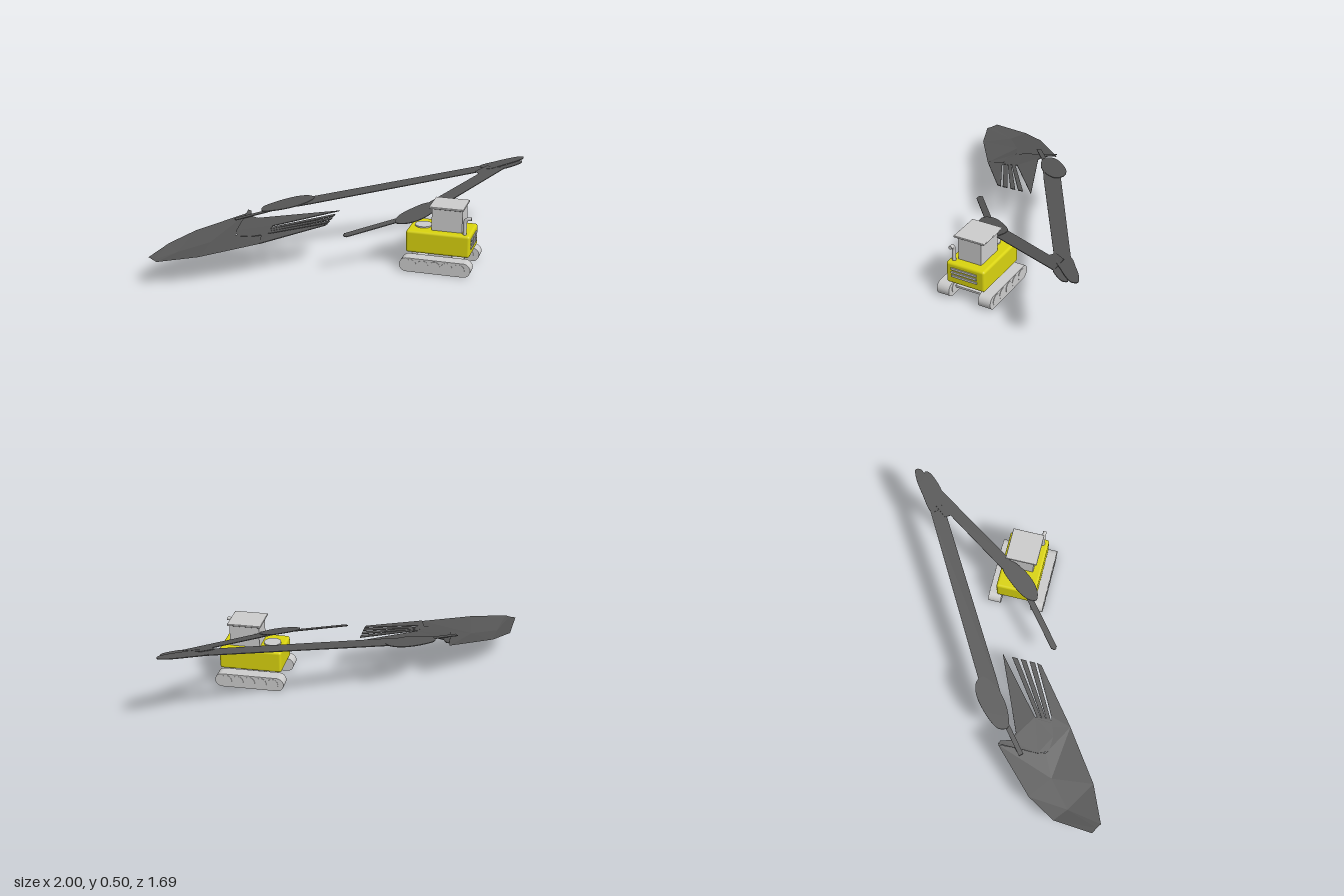
import * as THREE from 'three';
import { RoundedBoxGeometry } from 'three/addons/geometries/RoundedBoxGeometry.js';

const grey = new THREE.MeshStandardMaterial({ color: 0xcccccc });
const yellow = new THREE.MeshStandardMaterial({ color: 0xd9d30f });
const dark = new THREE.MeshStandardMaterial({ color: 0x555555, side: THREE.DoubleSide, flatShading: true });

// Heights of the tilted surfaces that carry the boom, the dipper and the bucket mouth
const boomHeight = (x, z) => 0.336 - 0.025 * x - 0.243 * z;
const dipperHeight = (x, z) => 0.3475 + 0.07 * x - 0.1 * z;
const bucketHeight = (x, z) => 0.30 - 0.015 * (x + 0.05) - 0.04 * z + 0.306 * (x + 0.05) * z;

// Smooth closed outline through a few [x, z] points
const rounded = (points) => new THREE.CatmullRomCurve3(
  points.map(([x, z]) => new THREE.Vector3(x, 0, z)), true).getPoints(36).slice(0, -1).map((p) => [p.x, p.z]);

export function createModel() {
  const model = new THREE.Group();

  function add(name, geometry, material, x = 0, y = 0, z = 0, parent = model) {
    const mesh = new THREE.Mesh(geometry, material);
    mesh.name = name;
    mesh.position.set(x, y, z);
    parent.add(mesh);
    return mesh;
  }

  function group(name) {
    const g = new THREE.Group();
    g.name = name;
    model.add(g);
    return g;
  }

  // Thin plate from an [x, z] outline, laid on a tilted surface
  function plate(name, outline, height, parent, lift = 0) {
    const thickness = 0.005;
    const shape = new THREE.Shape(outline.map(([x, z]) => new THREE.Vector2(x, -z)));
    const geometry = new THREE.ExtrudeGeometry(shape, { depth: thickness, bevelEnabled: false });
    geometry.rotateX(-Math.PI / 2);
    const p = geometry.attributes.position;
    for (let i = 0; i < p.count; i++) {
      p.setY(i, p.getY(i) + lift - thickness / 2 + height(p.getX(i), p.getZ(i)));
    }
    geometry.computeVertexNormals();
    add(name, geometry, dark, 0, 0, 0, parent);
  }

  // Straight strip between two [x, z] points
  function strip(name, a, b, width, height, parent, lift) {
    const dx = b[0] - a[0], dz = b[1] - a[1];
    const k = width / 2 / Math.hypot(dx, dz);
    const nx = -dz * k, nz = dx * k;
    plate(name, [[a[0] + nx, a[1] + nz], [b[0] + nx, b[1] + nz],
      [b[0] - nx, b[1] - nz], [a[0] - nx, a[1] - nz]], height, parent, lift);
  }

  // Tracks: rounded loop with five road wheels on each side
  for (const [side, zc] of [['left', 0.1125], ['right', -0.1725]]) {
    const track = group(side + 'Track');
    const r = 0.045, x0 = 0.44, x1 = 0.80, depth = 0.084;
    const loop = new THREE.Shape();
    loop.absarc(x1, r, r, -Math.PI / 2, Math.PI / 2, false);
    loop.absarc(x0, r, r, Math.PI / 2, Math.PI * 1.5, false);
    loop.closePath();
    add('trackBelt', new THREE.ExtrudeGeometry(loop, { depth, bevelEnabled: false, curveSegments: 14 }),
      grey, 0, 0.004, zc - depth / 2, track);
    for (let i = 0; i < 5; i++) {
      const wheel = add('roadWheel', new THREE.CylinderGeometry(0.037, 0.037, depth + 0.005, 24), grey,
        0.468 + i * 0.076, 0.049, zc, track);
      wheel.rotation.x = Math.PI / 2;
    }
  }

  // Undercarriage
  add('axlePlate', new THREE.BoxGeometry(0.3, 0.013, 0.27), grey, 0.62, 0.052, -0.03);
  add('pedestal', new THREE.BoxGeometry(0.15, 0.05, 0.07), grey, 0.62, 0.08, -0.03);
  add('turntable', new THREE.CylinderGeometry(0.075, 0.075, 0.012, 32), grey, 0.62, 0.106, -0.03);

  // House, hood cap, cab and roof
  add('body', new RoundedBoxGeometry(0.405, 0.143, 0.262, 4, 0.016), yellow, 0.622, 0.181, -0.034);
  add('hoodCap', new THREE.CylinderGeometry(0.055, 0.055, 0.012, 28), grey, 0.505, 0.255, -0.03);
  add('cab', new THREE.BoxGeometry(0.193, 0.152, 0.156), grey, 0.668, 0.326, -0.033);
  add('cabRoof', new RoundedBoxGeometry(0.218, 0.013, 0.206, 2, 0.004), grey, 0.665, 0.406, -0.034);

  // Grille bars on the end of the house
  for (const y of [0.165, 0.19, 0.215]) {
    add('grilleBar', new THREE.BoxGeometry(0.016, 0.014, 0.175), grey, 0.823, y, -0.027);
  }

  // Exhaust pipe bending outward
  const pipe = new THREE.CatmullRomCurve3([[0.785, 0.24], [0.785, 0.30], [0.786, 0.335],
    [0.797, 0.352], [0.826, 0.358]].map(([x, y]) => new THREE.Vector3(x, y, 0.062)));
  add('exhaust', new THREE.TubeGeometry(pipe, 24, 0.012, 12), grey);
  const cap = add('exhaustEnd', new THREE.CircleGeometry(0.012, 12), grey, 0.826, 0.358, 0.062);
  cap.rotation.y = Math.PI / 2;

  // Boom with its foot and ram
  const boom = group('boom');
  plate('boomBeam', [[0.9, -0.66], [0.59, -0.13], [0.55, -0.06], [0.45, -0.06], [0.48, -0.11],
    [0.745, -0.55], [0.72, -0.58], [0.78, -0.66]], boomHeight, boom);
  plate('boomFoot', rounded([[0.355, 0.05], [0.42, -0.06], [0.51, -0.145], [0.57, -0.11],
    [0.55, -0.03], [0.48, 0.07], [0.41, 0.115], [0.36, 0.115]]), boomHeight, boom, 0.004);
  strip('boomRam', [0.09, 0.30], [0.5, -0.04], 0.04, boomHeight, boom, -0.003);
  plate('boomRamTip', rounded([[0.075, 0.30], [0.10, 0.275], [0.115, 0.295], [0.09, 0.315]]), boomHeight, boom, -0.003);

  // Dipper with elbow plates, knuckle and bucket link
  const dipper = group('dipper');
  plate('elbowPlate', rounded([[0.73, -0.67], [0.83, -0.76], [0.93, -0.83], [0.985, -0.848], [0.995, -0.82],
    [0.97, -0.78], [0.89, -0.70], [0.79, -0.62]]), dipperHeight, dipper, 0.003);
  plate('elbowPlate', rounded([[0.84, -0.66], [0.90, -0.71], [0.985, -0.79], [0.994, -0.765], [0.95, -0.70],
    [0.88, -0.645]]), dipperHeight, dipper, -0.003);
  plate('dipperBeam', [[-0.27, -0.10], [0.74, -0.685], [0.80, -0.70], [0.82, -0.63], [0.72, -0.565],
    [-0.22, 0.0], [-0.31, 0.05]], dipperHeight, dipper);
  plate('dipperKnuckle', rounded([[-0.53, 0.09], [-0.48, 0.01], [-0.36, -0.095], [-0.28, -0.115],
    [-0.237, -0.085], [-0.25, -0.03], [-0.32, 0.06], [-0.42, 0.125], [-0.51, 0.145]]), dipperHeight, dipper, 0.003);
  strip('bucketLink', [-0.45, 0.10], [-0.65, 0.265], 0.03, dipperHeight, dipper, -0.004);

  // Bucket shell: cross-sections of back edge, crease and front edge
  const bucket = group('bucket');
  const rows = [
    [[-1, 0.178, 0.80], [-0.96, 0.172, 0.82], [-0.93, 0.17, 0.84]],
    [[-0.98, 0.178, 0.55], [-0.89, 0.157, 0.62], [-0.70, 0.19, 0.74]],
    [[-0.88, 0.208, 0.37], [-0.73, 0.188, 0.48], [-0.39, 0.229, 0.52]],
    [[-0.62, 0.267, 0.11], [-0.59, 0.225, 0.41], [-0.38, 0.246, 0.40]],
  ];
  const index = [];
  for (let r = 0; r < 3; r++) {
    for (let c = 0; c < 2; c++) {
      const a = r * 3 + c, d = a + 3;
      index.push(a, a + 1, d, a + 1, d + 1, d);
    }
  }
  const shell = new THREE.BufferGeometry();
  shell.setAttribute('position', new THREE.Float32BufferAttribute(rows.flat(2), 3));
  shell.setIndex(index);
  shell.computeVertexNormals();
  add('bucketShell', shell, dark, 0, 0, 0, bucket);

  // Bucket mouth plate and teeth
  plate('bucketMouth', [[-0.62, 0.11], [-0.595, 0.12], [-0.575, 0.18], [-0.52, 0.20], [-0.04, -0.005],
    [-0.39, 0.29], [-0.38, 0.40], [-0.48, 0.43], [-0.575, 0.425], [-0.605, 0.36]], bucketHeight, bucket);
  for (let i = 0; i < 3; i++) {
    const z = 0.058 + i * 0.057, base = 0.312 + i * 0.03;
    plate('tooth', [[-0.05, z], [-0.05, z + 0.036], [-0.40, base + 0.028], [-0.40, base]],
      bucketHeight, bucket);
  }
  plate('outerTooth', [[-0.05, 0.222], [-0.055, 0.25], [-0.39, 0.52], [-0.42, 0.41], [-0.36, 0.39]],
    bucketHeight, bucket);

  return model;
}
